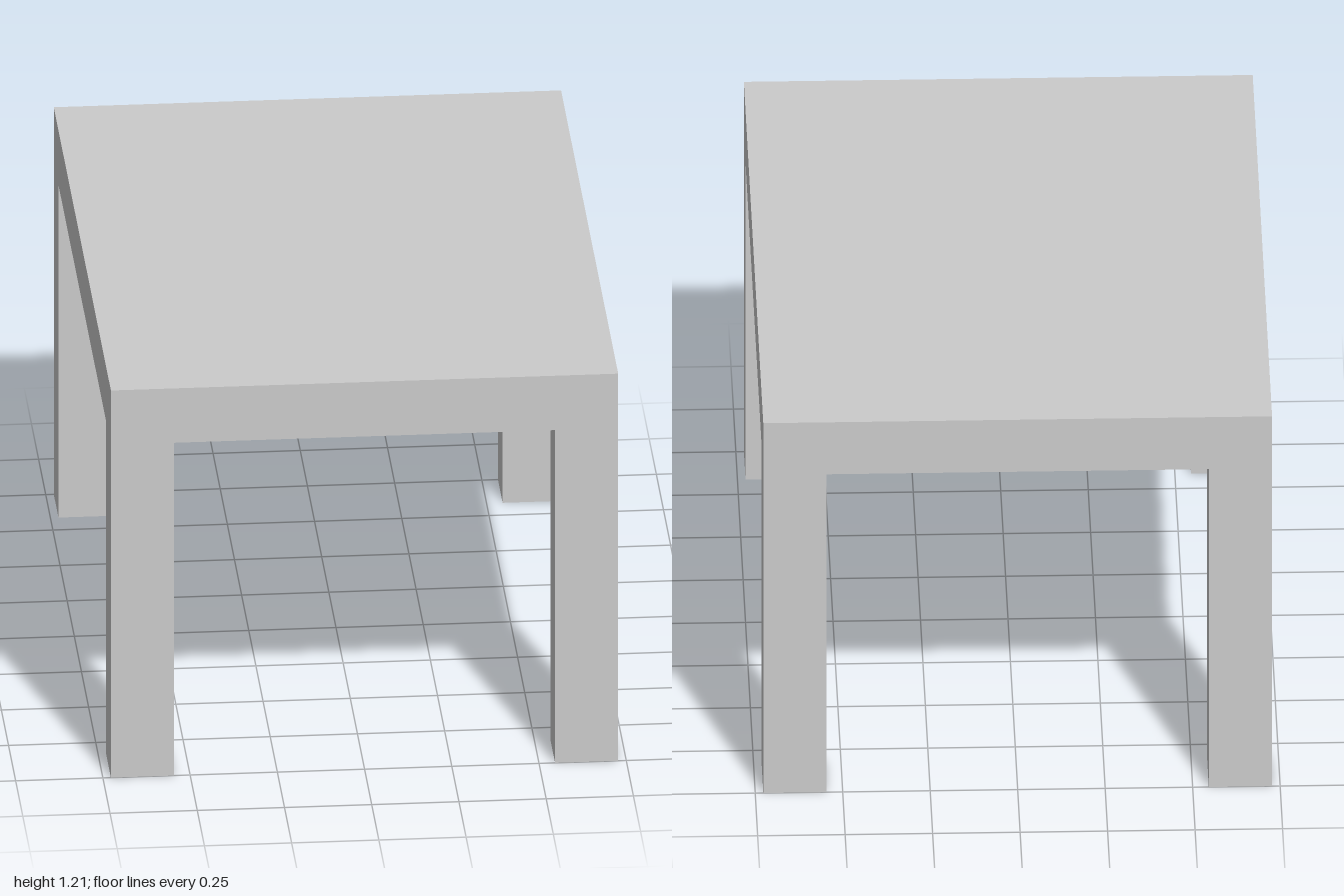
import * as THREE from 'three';

const WIDTH = 1.454, DEPTH = 2, HEIGHT = 1.21;
const LEG_HEIGHT = 1.04, LEG_WIDTH = 0.181, LEG_DEPTH = 0.164;

export function createModel() {
  const table = new THREE.Group();
  table.name = 'table';
  const material = new THREE.MeshStandardMaterial({ color: 0xcccccc, flatShading: true });

  // Box standing on height y
  function addBox(name, w, h, d, x, y, z) {
    const mesh = new THREE.Mesh(new THREE.BoxGeometry(w, h, d), material);
    mesh.name = name;
    mesh.position.set(x, y + h / 2, z);
    table.add(mesh);
  }

  // Thick slab top
  addBox('tableTop', WIDTH, HEIGHT - LEG_HEIGHT, DEPTH, 0, LEG_HEIGHT, 0);

  // Four legs, flush with the corners of the top
  for (const [front, sz] of [['front', 1], ['back', -1]]) {
    for (const [side, sx] of [['Left', 1], ['Right', -1]]) {
      addBox(`${front}${side}Leg`, LEG_WIDTH, LEG_HEIGHT, LEG_DEPTH,
        sx * (WIDTH - LEG_WIDTH) / 2, 0, sz * (DEPTH - LEG_DEPTH) / 2);
    }
  }
  return table;
}
